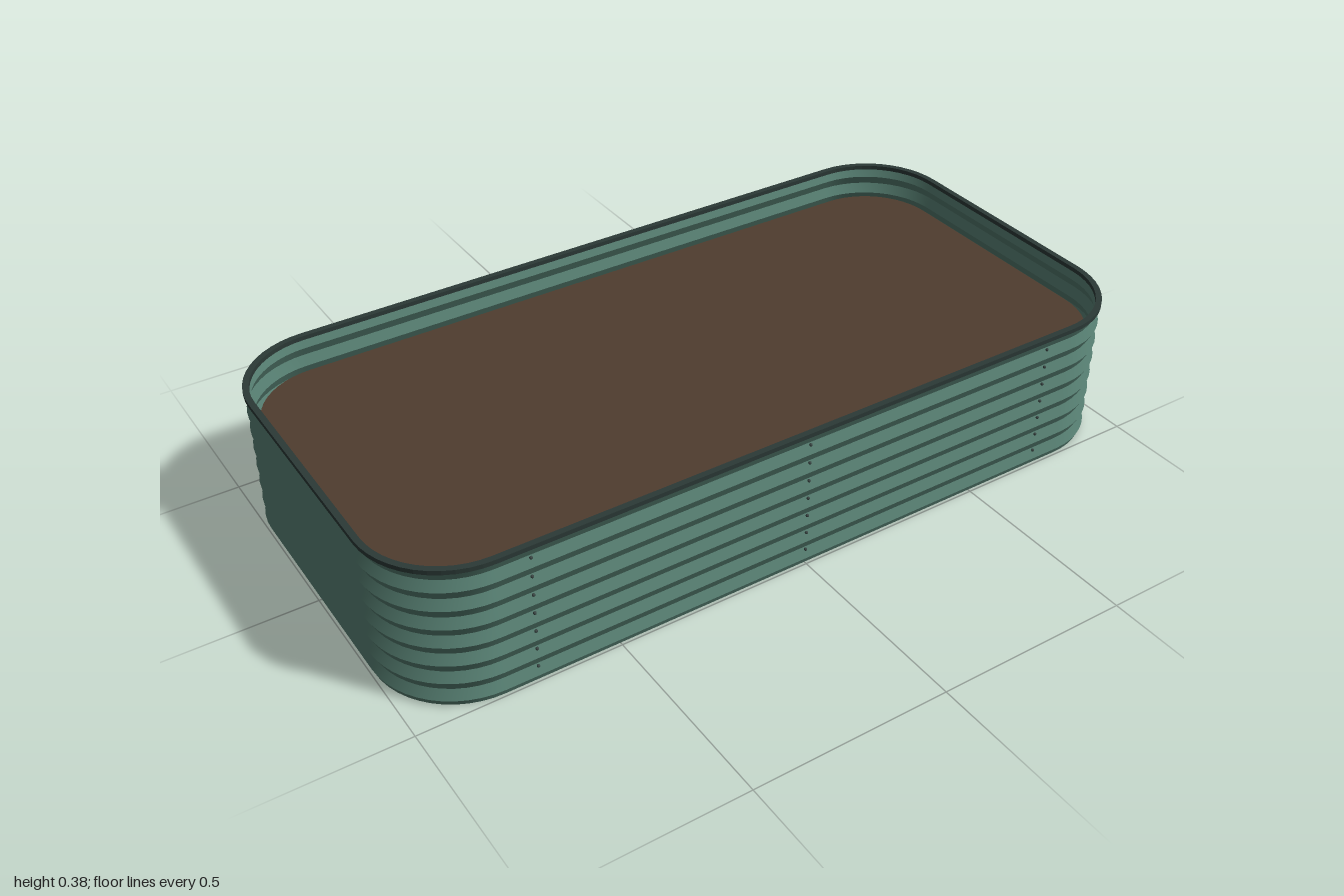
import * as THREE from 'three';
import { mergeGeometries } from 'three/addons/utils/BufferGeometryUtils.js';

const HALF_X = 1, HALF_Z = 0.5, RADIUS = 0.215, STEPS = 12;

// Rounded-rectangle outline, moved inward by inset; points run counter-clockwise
function outline(inset) {
  const r = RADIUS - inset, points = [];
  const corners = [[1, 1], [-1, 1], [-1, -1], [1, -1]];
  corners.forEach(([sx, sy], c) => {
    for (let i = 0; i <= STEPS; i++) {
      const a = (c + i / STEPS) * Math.PI / 2;
      points.push(new THREE.Vector2(
        sx * (HALF_X - RADIUS) + r * Math.cos(a),
        sy * (HALF_Z - RADIUS) + r * Math.sin(a)));
    }
  });
  return points;
}

// One sloping band of the wall, smooth around the corners
function band([insetA, yA], [insetB, yB]) {
  const low = outline(insetA), high = outline(insetB), n = low.length;
  const positions = [], index = [];
  for (let i = 0; i < n; i++) {
    positions.push(low[i].x, yA, -low[i].y, high[i].x, yB, -high[i].y);
    const a = 2 * i, b = 2 * ((i + 1) % n);
    index.push(a, b, b + 1, a, b + 1, a + 1);
  }
  const geometry = new THREE.BufferGeometry();
  geometry.setAttribute('position', new THREE.Float32BufferAttribute(positions, 3));
  geometry.setIndex(index);
  geometry.computeVertexNormals();
  return geometry;
}

// Flat slab with the rounded outline, optionally hollow
function slab(inset, y, height, holeInset) {
  const shape = new THREE.Shape(outline(inset));
  if (holeInset) shape.holes.push(new THREE.Path(outline(holeInset)));
  const geometry = new THREE.ExtrudeGeometry(shape, { depth: height, bevelEnabled: false });
  return geometry.rotateX(-Math.PI / 2).translate(0, y, 0);
}

export function createModel() {
  const group = new THREE.Group();
  const add = (name, geometry, color, side = THREE.FrontSide) => {
    const mesh = new THREE.Mesh(geometry, new THREE.MeshStandardMaterial({ color, side }));
    mesh.name = name;
    group.add(mesh);
  };

  // Corrugated wall: zigzag of ridges and valleys, open below
  const ridge = 0.002, valley = 0.014, pitch = 0.05, ridges = 8;
  const profile = [[0.008, 0]];
  for (let i = 0; i < ridges; i++) {
    const y = 0.015 + i * pitch;
    profile.push([ridge, y]);
    if (i < ridges - 1) profile.push([valley, y + pitch / 2]);
  }
  const bands = profile.slice(1).map((point, i) => band(profile[i], point));
  add('corrugatedWall', mergeGeometries(bands), 0x557d70, THREE.DoubleSide);

  // Dark rim along the top edge
  add('topRim', slab(0, 0.364, 0.011, 0.015), 0x2b3936);

  // Soil slab
  add('soil', slab(0.029, 0.245, 0.041), 0x4f3d2f);

  // Columns of small rivets on the long sides, one in each valley
  const rivets = [];
  for (const z of [-0.495, 0.495])
    for (const x of [-0.705, 0, 0.705])
      for (let i = 0; i < ridges - 1; i++)
        rivets.push(new THREE.SphereGeometry(0.004, 8, 6).translate(x, 0.04 + i * pitch, z));
  add('rivets', mergeGeometries(rivets), 0x3a4644);

  return group;
}
